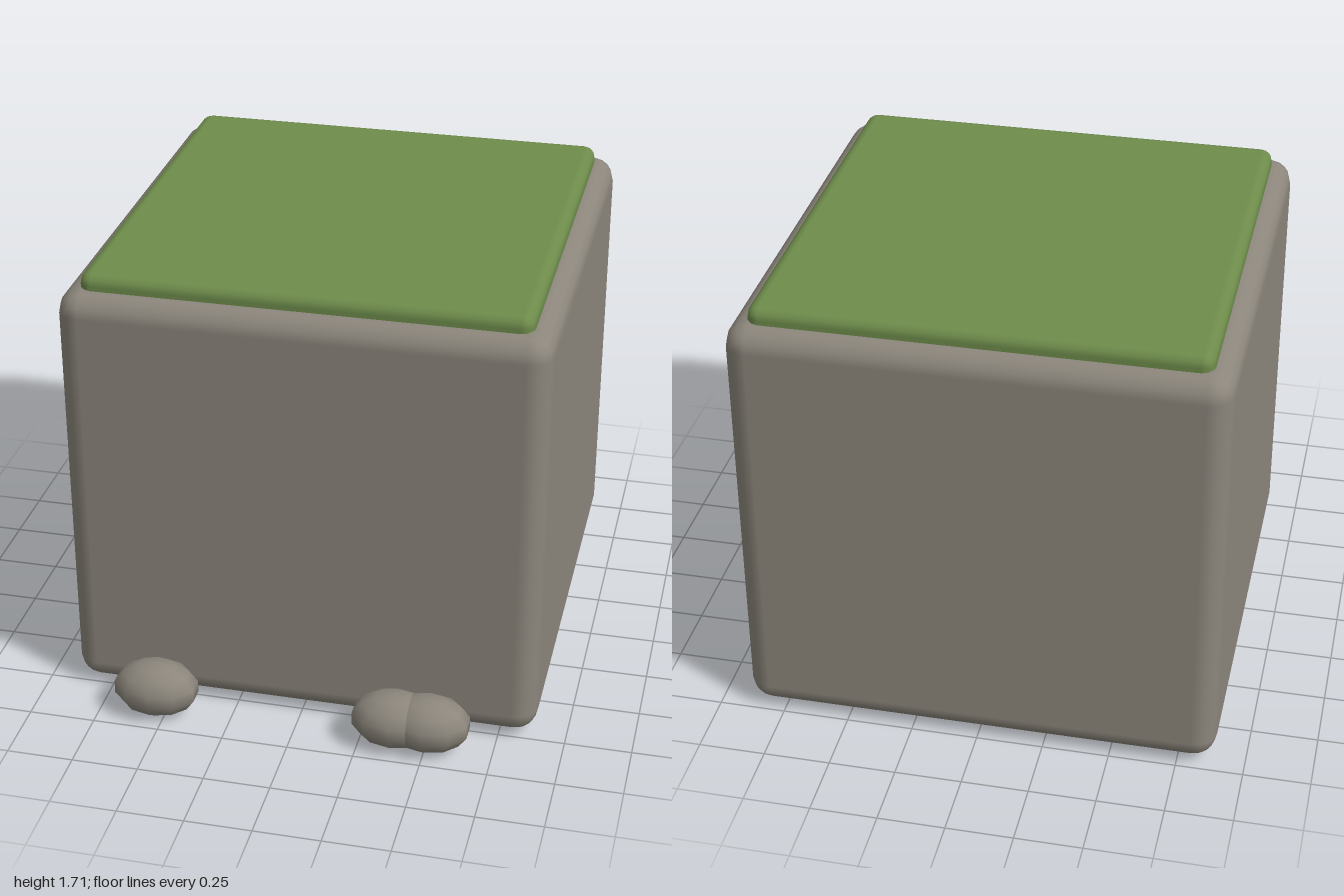
import * as THREE from 'three';
import { RoundedBoxGeometry } from 'three/addons/geometries/RoundedBoxGeometry.js';

export function createModel() {
  const group = new THREE.Group();
  const stone = new THREE.MeshStandardMaterial({ color: 0x8c867c });
  stone.name = 'stone grey';
  const grass = new THREE.MeshStandardMaterial({ color: 0x6e8c4b });
  grass.name = 'grass green';

  // Adds a rounded block spanning the given minimum and maximum corners
  function block(name, min, max, radius, material) {
    const size = max.map((v, i) => v - min[i]);
    const mesh = new THREE.Mesh(new RoundedBoxGeometry(...size, 2, radius), material);
    mesh.position.set(...max.map((v, i) => (v + min[i]) / 2));
    mesh.name = name;
    group.add(mesh);
  }

  // Rock body with a turf slab sunk into its top
  block('rockBody', [-0.89, 0.02, -1], [0.89, 1.655, 0.78], 0.088, stone);
  block('grassTop', [-0.815, 1.59, -0.93], [0.815, 1.713, 0.71], 0.045, grass);

  // Low-poly pebbles along the foot of the front face
  const pebble = new THREE.SphereGeometry(1, 10, 7);
  pebble.rotateY(Math.PI / 2);
  pebble.scale(0.165, 0.108, 0.12);
  [-0.535, 0.38, 0.505].forEach((x, i) => {
    const mesh = new THREE.Mesh(pebble, stone);
    mesh.position.set(x, 0.108, 0.88);
    mesh.name = `pebble${i + 1}`;
    group.add(mesh);
  });

  return group;
}
